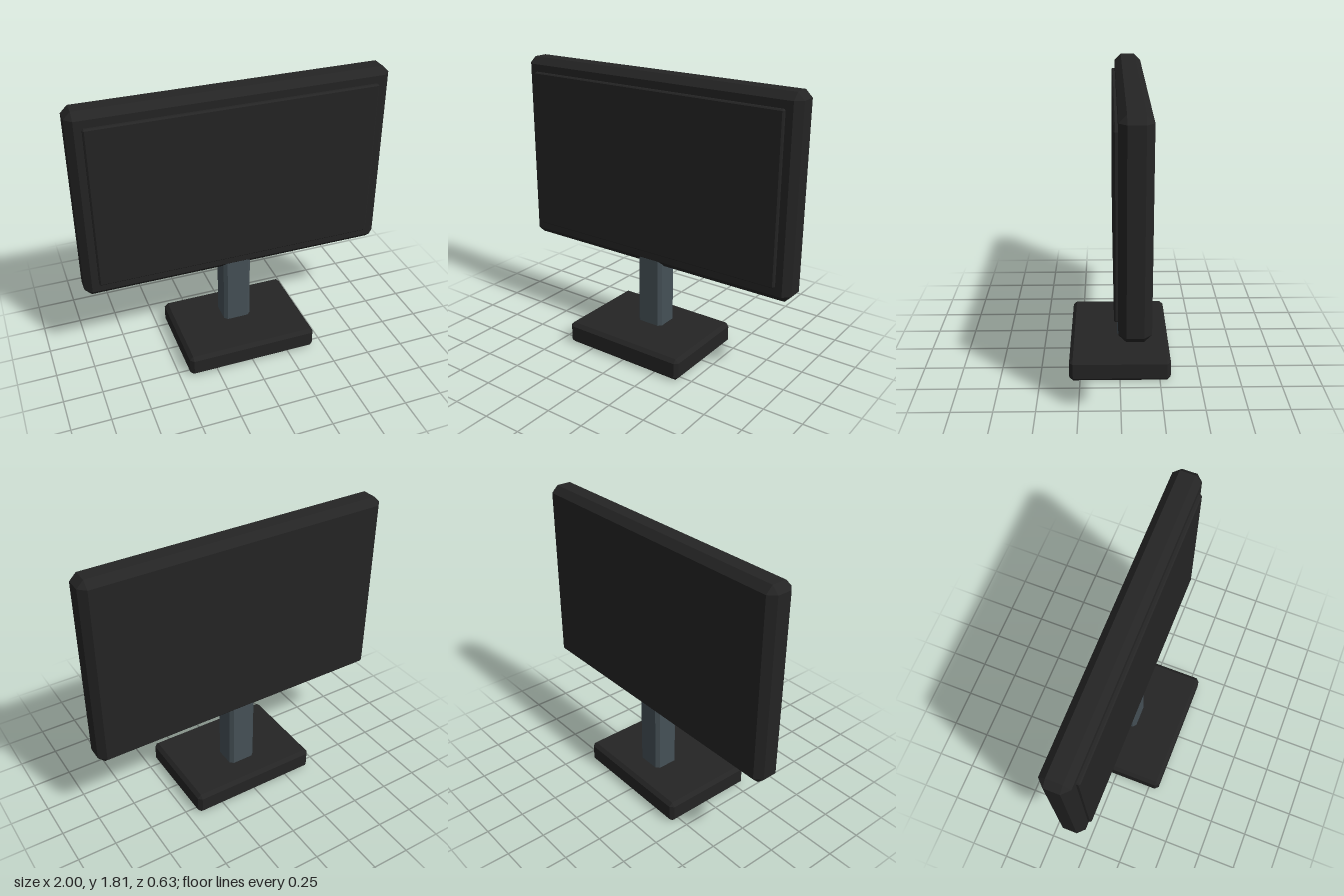
import * as THREE from 'three';
import { ConvexGeometry } from 'three/addons/geometries/ConvexGeometry.js';

// Box between two corners with every edge cut by a flat chamfer c
function chamferBox(min, max, c) {
  const half = min.map((v, i) => (max[i] - v) / 2);
  const mid = min.map((v, i) => (max[i] + v) / 2);
  const points = [];
  for (const sx of [-1, 1]) for (const sy of [-1, 1]) for (const sz of [-1, 1]) {
    const s = [sx, sy, sz];
    // one point per face meeting at this corner
    for (let face = 0; face < 3; face++) {
      const p = s.map((sign, i) => mid[i] + sign * (half[i] - (i === face ? 0 : c)));
      points.push(new THREE.Vector3(...p));
    }
  }
  return new ConvexGeometry(points);
}

export function createModel() {
  const group = new THREE.Group();
  group.name = 'monitor';

  const black = new THREE.MeshStandardMaterial({ name: 'black plastic', color: 0x242424 });
  const steel = new THREE.MeshStandardMaterial({ name: 'slate grey', color: 0x455056 });

  const add = (name, material, min, max, c) => {
    const mesh = new THREE.Mesh(chamferBox(min, max, c), material);
    mesh.name = name;
    group.add(mesh);
  };

  // Foot and upright
  add('base', black, [-0.432, 0, -0.317], [0.432, 0.145, 0.317], 0.023);
  add('neck', steel, [-0.092, 0.08, -0.153], [0.092, 0.72, 0.013], 0.021);

  // Display body with a slightly raised screen
  add('housing', black, [-1, 0.57, -0.163], [1, 1.813, 0.018], 0.043);
  add('screen', black, [-0.912, 0.664, -0.01], [0.912, 1.722, 0.041], 0.008);

  return group;
}
